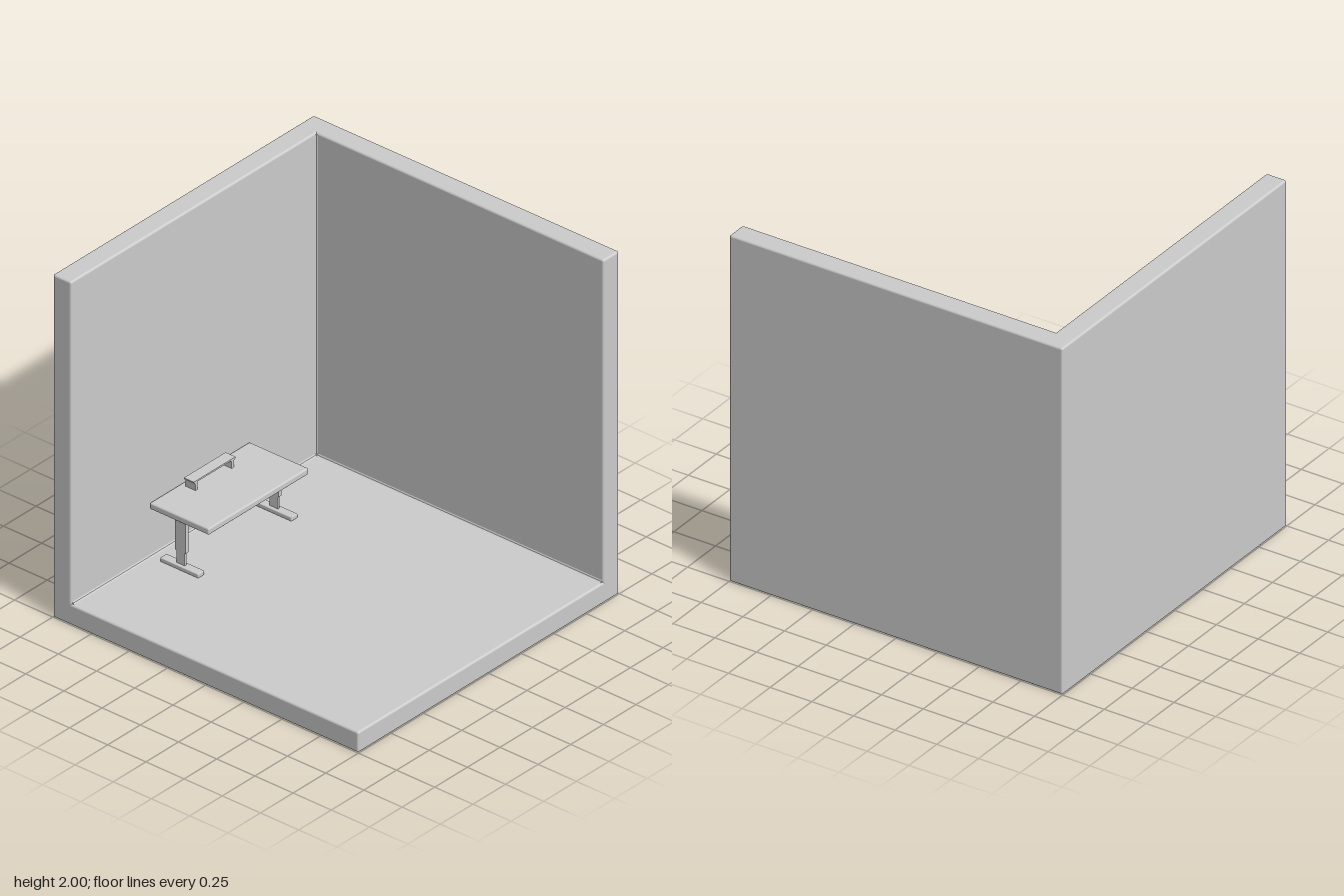
import * as THREE from 'three';
import { RoundedBoxGeometry } from 'three/addons/geometries/RoundedBoxGeometry.js';

const material = new THREE.MeshStandardMaterial({ color: 0xcccccc });
material.name = 'light grey';

function add(parent, name, geometry, x = 0, y = 0, z = 0) {
  const mesh = new THREE.Mesh(geometry, material);
  mesh.name = name;
  mesh.position.set(x, y, z);
  parent.add(mesh);
  return mesh;
}

// Box given by its limits on each axis, with optional rounded edges
function block(parent, name, [x0, x1], [y0, y1], [z0, z1], radius = 0) {
  const size = [x1 - x0, y1 - y0, z1 - z0];
  const geometry = radius
    ? new RoundedBoxGeometry(...size, 3, radius)
    : new THREE.BoxGeometry(...size);
  return add(parent, name, geometry, (x0 + x1) / 2, (y0 + y1) / 2, (z0 + z1) / 2);
}

function group(parent, name, x = 0) {
  const g = new THREE.Group();
  g.name = name;
  g.position.x = x;
  parent.add(g);
  return g;
}

// Profile in x and y, extruded between two depths
function extrude(points, z0, z1) {
  const shape = new THREE.Shape(points.map(([x, y]) => new THREE.Vector2(x, y)));
  const geometry = new THREE.ExtrudeGeometry(shape, { depth: z1 - z0, bevelEnabled: false });
  return geometry.translate(0, 0, z0);
}

export function createModel() {
  const model = new THREE.Group();
  model.name = 'roomCorner';
  const T = 0.12; // thickness of floor and walls
  const inner = 1 - T;

  // Floor and two walls, softened along their outer edges
  const room = group(model, 'room');
  block(room, 'floor', [-1, 1], [0, T], [-1, 1], 0.012);
  block(room, 'backWall', [-1, 1], [0, 2], [-1, -inner], 0.012);
  block(room, 'sideWall', [inner, 1], [0, 2], [-1, 1], 0.012);

  // Small coves where the floor and walls meet
  const cove = extrude([[0.002, -0.002], [0.002, 0.012], [0, 0.012], [-0.004, 0.004], [-0.012, 0], [-0.012, -0.002]], -0.99, 0.99);
  add(room, 'sideCove', cove, inner, T, 0);
  add(room, 'backCove', cove, 0, T, -inner).rotation.y = Math.PI / 2;
  add(room, 'cornerCove', cove, inner, 1, -inner).rotation.x = Math.PI / 2;

  // Desk, centred slightly off the middle of the back wall
  const desk = group(model, 'desk', -0.019);
  block(desk, 'deskTop', [-0.383, 0.383], [0.4, 0.438], [-0.877, -0.49], 0.009);
  for (const side of [-1, 1]) {
    const leg = group(desk, side < 0 ? 'rightLeg' : 'leftLeg', side * 0.357);
    block(leg, 'upperPost', [-0.011, 0.011], [0.22, 0.402], [-0.725, -0.655]);
    block(leg, 'lowerPost', [-0.007, 0.007], [0.14, 0.222], [-0.717, -0.663]);
    block(leg, 'foot', [-0.025, 0.025], [T, 0.145], [-0.81, -0.56], 0.005);
  }

  // Low riser on the desk: a thin shelf on flared side panels
  const riser = group(desk, 'riser');
  const half = [[0.16, 0.493], [0.16, 0.486], [0.149, 0.478], [0.147, 0.437], [0.13, 0.437], [0.13, 0.478], [0.125, 0.484]];
  const mirrored = half.map(([x, y]) => [-x, y]).reverse();
  add(riser, 'riserBody', extrude([...half, ...mirrored], -0.843, -0.778));

  return model;
}
